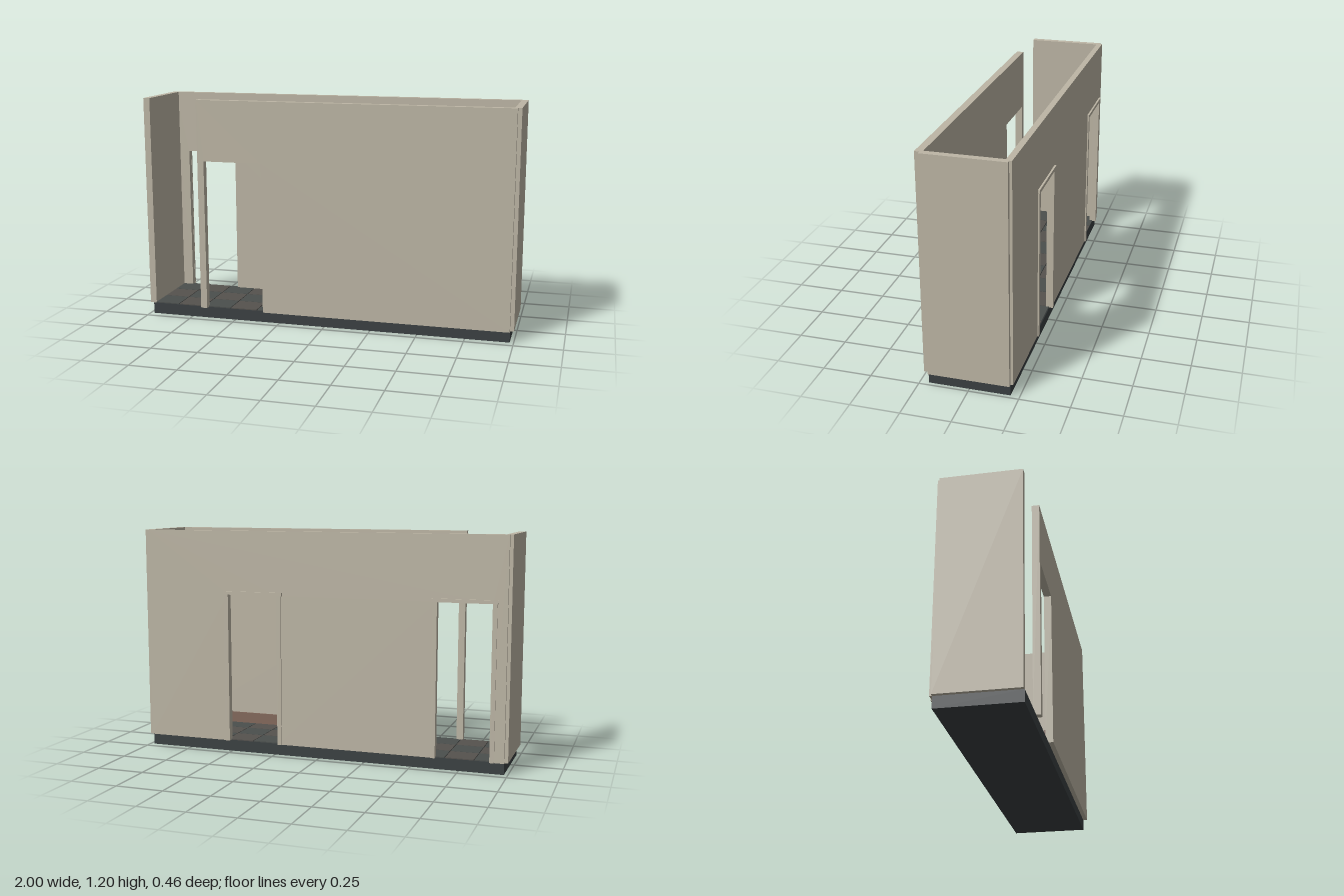
import * as THREE from 'three';

const FLOOR = 0.06, TOP = 1.195;

export function createModel() {
  const model = new THREE.Group();
  model.name = 'corridor';

  const material = (color) => new THREE.MeshStandardMaterial({ color });
  const plaster = material(0xbdb6a5);
  const stone = material(0x3a4042);
  const grout = material(0x2c2e2e);
  const tileTones = [material(0x4b4f4d), material(0x55524e)];
  const wood = material(0x84695c);

  // Box given by its limits on each axis
  function box(name, mat, [x0, x1], [y0, y1], [z0, z1], parent = model) {
    const mesh = new THREE.Mesh(new THREE.BoxGeometry(x1 - x0, y1 - y0, z1 - z0), mat);
    mesh.position.set((x0 + x1) / 2, (y0 + y1) / 2, (z0 + z1) / 2);
    mesh.name = name;
    parent.add(mesh);
    return mesh;
  }

  // Long wall whose doorways are notches cut up from its lower edge
  function doorWall(name, [x0, x1], [z0, z1], doors, doorTop) {
    const outline = new THREE.Shape();
    outline.moveTo(x0, FLOOR);
    for (const [d0, d1] of doors) {
      outline.lineTo(d0, FLOOR);
      outline.lineTo(d0, doorTop);
      outline.lineTo(d1, doorTop);
      outline.lineTo(d1, FLOOR);
    }
    outline.lineTo(x1, FLOOR);
    outline.lineTo(x1, TOP);
    outline.lineTo(x0, TOP);
    const geometry = new THREE.ExtrudeGeometry(outline, { depth: z1 - z0, bevelEnabled: false });
    const mesh = new THREE.Mesh(geometry, plaster);
    mesh.position.z = z0;
    mesh.name = name;
    model.add(mesh);
  }

  // Plinth and the dark bed under the tiles
  box('plinth', stone, [-0.98, 0.98], [0, FLOOR], [-0.205, 0.205]);
  box('groutBed', grout, [-0.965, 0.965], [FLOOR, 0.061], [-0.2, 0.2]);

  // Checkered floor tiles, outer columns trimmed by the end walls
  const tiles = new THREE.Group();
  tiles.name = 'floorTiles';
  model.add(tiles);
  const columns = 13, rows = 3, w = 1.96 / columns, d = 0.41 / rows, gap = 0.002;
  for (let c = 0; c < columns; c++) {
    for (let r = 0; r < rows; r++) {
      const x = -0.98 + c * w, z = -0.205 + r * d;
      box('tile', tileTones[(c + r) % 2],
        [Math.max(x + gap, -0.966), Math.min(x + w - gap, 0.966)], [FLOOR, 0.065],
        [z + gap, z + d - gap], tiles);
    }
  }

  // End walls
  box('rightEndWall', plaster, [-1, -0.965], [FLOOR, TOP], [-0.205, 0.203]);
  box('leftEndWall', plaster, [0.965, 1], [FLOOR, TOP], [-0.205, 0.203]);

  // Long walls
  const backDoors = [[-0.91, -0.63], [0.227, 0.507]];
  doorWall('backWall', [-0.983, 0.98], [-0.218, -0.187], backDoors, 0.858);
  doorWall('frontWall', [-0.69, 0.98], [0.19, 0.228], [[-0.655, -0.335]], 0.87);

  // Skirting along the inside of the front wall
  box('skirting', wood, [-0.335, 0.965], [FLOOR, 0.125], [0.184, 0.191]);

  // Casings around the outside of the back doorways
  for (const [x0, x1] of backDoors) {
    const casing = new THREE.Group();
    casing.name = 'doorCasing';
    model.add(casing);
    box('jamb', plaster, [x0 - 0.022, x0 + 0.001], [FLOOR, 0.857], [-0.225, -0.216], casing);
    box('jamb', plaster, [x1 - 0.001, x1 + 0.022], [FLOOR, 0.857], [-0.225, -0.216], casing);
    box('header', plaster, [x0 - 0.028, x1 + 0.028], [0.857, 0.875], [-0.228, -0.216], casing);
  }

  return model;
}
